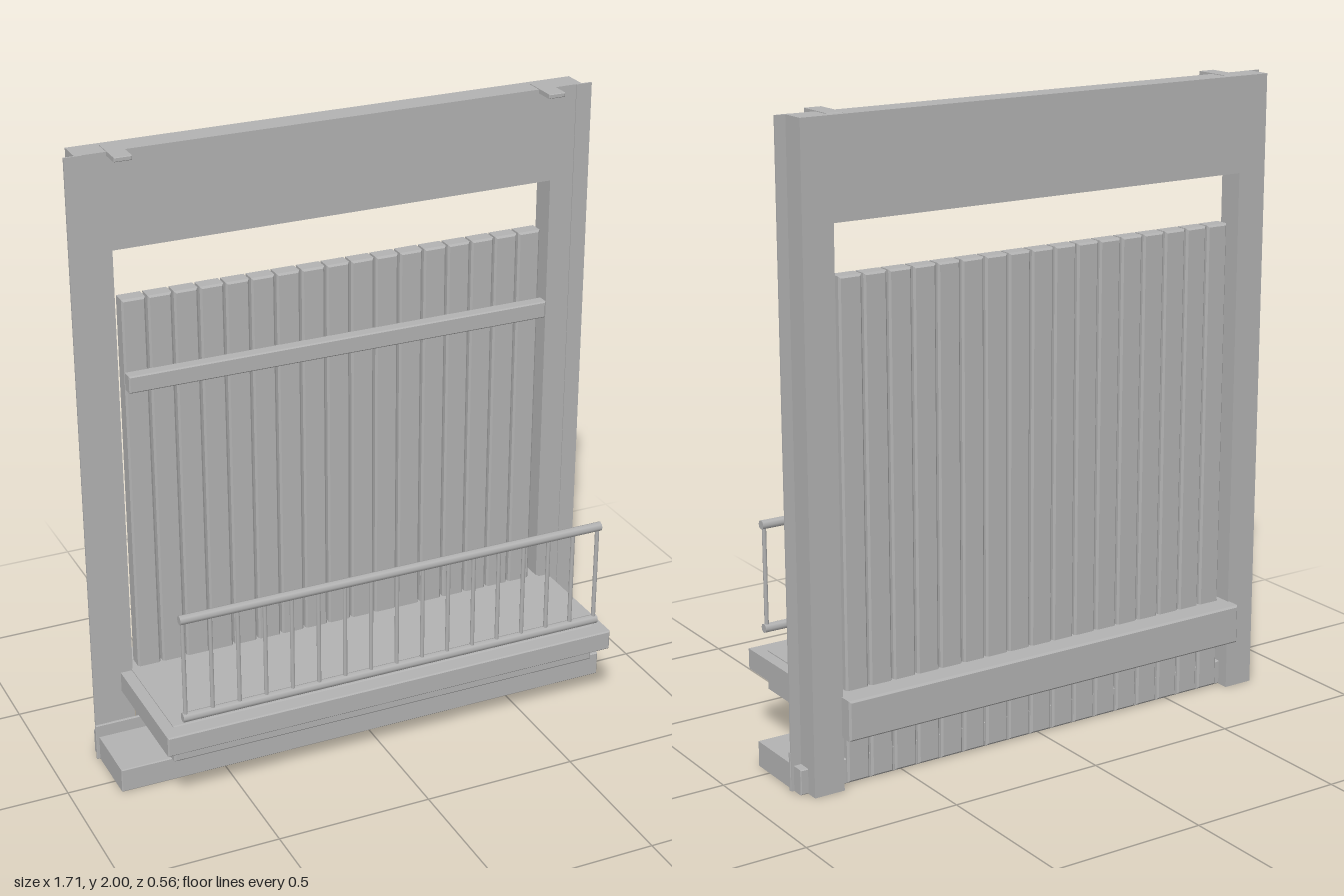
import * as THREE from 'three';

export function createModel() {
  const model = new THREE.Group();
  const grey = new THREE.MeshStandardMaterial({ color: 0xb2b2b2 });
  grey.name = 'plain grey';

  const add = (name, geometry, parent = model) => {
    const mesh = new THREE.Mesh(geometry, grey);
    mesh.name = name;
    parent.add(mesh);
    return mesh;
  };
  const group = (name) => {
    const g = new THREE.Group();
    g.name = name;
    model.add(g);
    return g;
  };

  // Box given by its limits, with optional chamfers on front and back edges
  const block = (name, [x0, x1], [y0, y1], [z0, z1], bevel = 0, parent = model) => {
    const shape = new THREE.Shape();
    shape.moveTo(x0 + bevel, y0 + bevel);
    shape.lineTo(x1 - bevel, y0 + bevel);
    shape.lineTo(x1 - bevel, y1 - bevel);
    shape.lineTo(x0 + bevel, y1 - bevel);
    shape.closePath();
    const geometry = new THREE.ExtrudeGeometry(shape, {
      depth: z1 - z0 - 2 * bevel, bevelEnabled: bevel > 0,
      bevelThickness: bevel, bevelSize: bevel, bevelSegments: 1,
    });
    geometry.translate(0, 0, z0 + bevel);
    return add(name, geometry, parent);
  };

  // Wall frame: two posts joined by a deep lintel, open at the bottom
  const arch = new THREE.Shape([
    [-0.82, 0], [-0.72, 0], [-0.72, 1.7], [0.72, 1.7],
    [0.72, 0], [0.82, 0], [0.82, 2], [-0.82, 2],
  ].map(([x, y]) => new THREE.Vector2(x, y)));
  const frame = new THREE.ExtrudeGeometry(arch, { depth: 0.083, bevelEnabled: false });
  frame.translate(0, 0, -0.233);
  add('wallFrame', frame);

  // Thin edge strips and hanging clips, mirrored
  for (const s of [-1, 1]) {
    const span = (a, b) => (s > 0 ? [a, b] : [-b, -a]);
    block('edgeStrip', span(0.8, 0.853), [0, 2], [-0.153, -0.147]);
    block('topClip', span(0.67, 0.725), [1.988, 2.002], [-0.21, -0.085], 0.002);
  }

  // Vertical plank panel
  const planks = group('plankPanel');
  const count = 17, pitch = 1.398 / count;
  for (let i = 0; i < count; i++) {
    const x = -0.7 + i * pitch;
    block('plank', [x, x + pitch - 0.007], [0.005, 1.54], [-0.205, -0.15], 0.006, planks);
  }

  // Cross battens in front and behind
  block('frontBatten', [-0.7, 0.7], [1.255, 1.31], [-0.155, -0.113], 0.004);

  // Balcony: floor beam passing through the wall, with a wider ledge
  block('balconyFloor', [-0.725, 0.725], [0.17, 0.297], [-0.28, 0.225], 0.006);
  block('balconyLedge', [-0.762, 0.762], [0.228, 0.294], [-0.148, 0.275], 0.004);

  // Step and its riser plate
  block('step', [-0.845, 0.845], [0, 0.08], [-0.194, 0.068], 0.003);
  block('riserPlate', [-0.855, 0.855], [0, 0.122], [-0.15, -0.14], 0.002);

  // Railing
  const railing = group('railing');
  for (const y of [0.35, 0.685]) {
    const rail = add('rail', new THREE.CylinderGeometry(0.015, 0.015, 1.42, 8), railing);
    rail.rotation.z = Math.PI / 2;
    rail.position.set(0, y, 0.266);
  }
  const bars = 17;
  for (let i = 0; i < bars; i++) {
    const bar = add('railBar', new THREE.CylinderGeometry(0.007, 0.007, 0.335, 8), railing);
    bar.position.set(-0.7 + (1.4 * i) / (bars - 1), 0.5175, 0.266);
  }
  return model;
}
